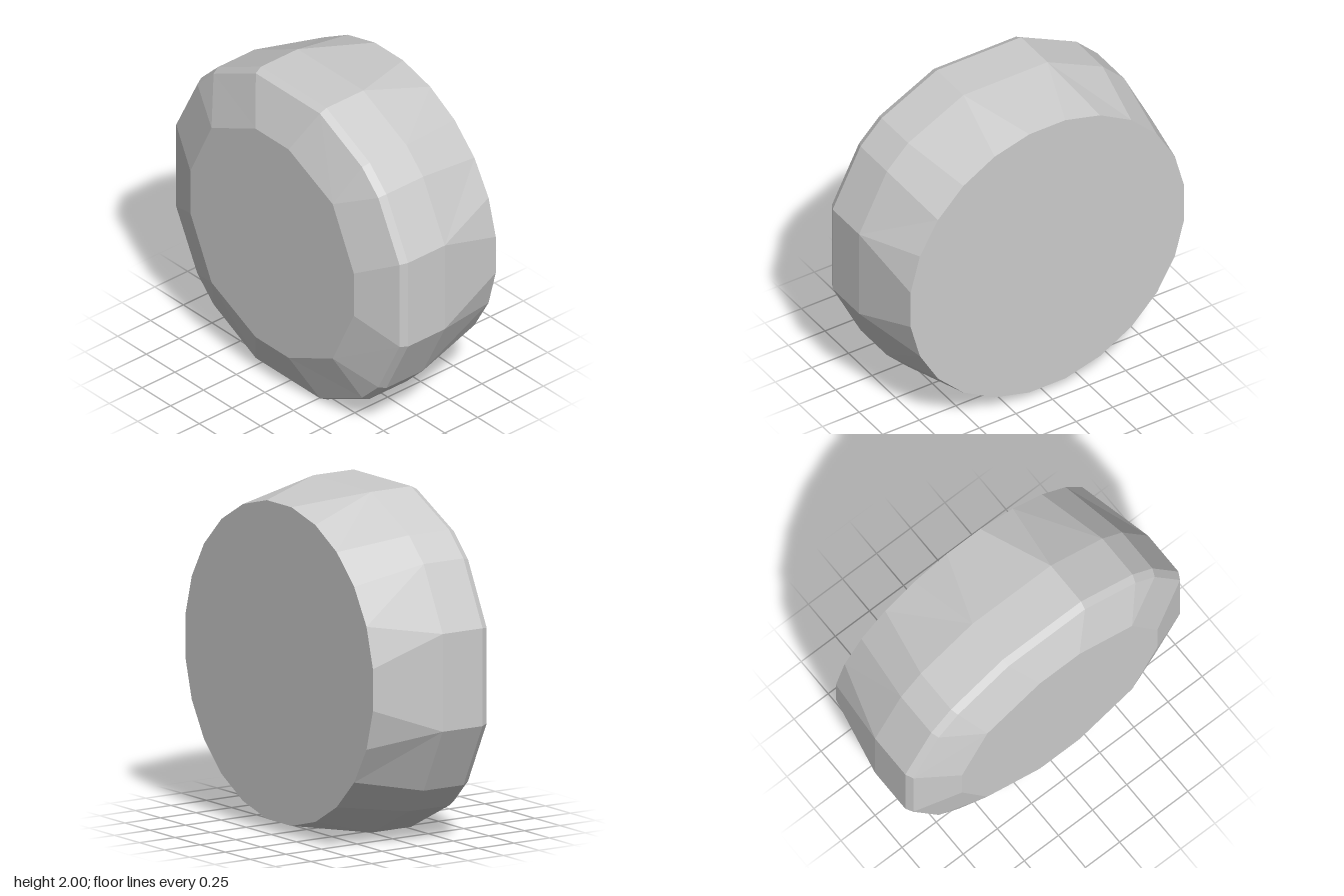
import * as THREE from 'three';

const CENTRE_Y = 1;

// Repeat a quarter outline four times to get a closed counter-clockwise ring at depth z
function ring(quarter, z, scale = 1) {
  const points = [];
  for (let q = 0; q < 4; q++) {
    for (const [x, y] of quarter) {
      const p = new THREE.Vector2(x * scale, y * scale).rotateAround(new THREE.Vector2(), q * Math.PI / 2);
      points.push(new THREE.Vector3(p.x, p.y + CENTRE_Y, z));
    }
  }
  return points;
}

// Angle of ring point i, continuing past a full turn
function angleAt(loop, i) {
  const p = loop[i % loop.length];
  const a = Math.atan2(p.y - CENTRE_Y, p.x);
  return (a < 0 ? a + 2 * Math.PI : a) + 2 * Math.PI * Math.floor(i / loop.length);
}

// Join two rings, which may have different point counts, with a band of triangles
function bridge(tris, back, front) {
  let i = 0, j = 0;
  while (i < back.length || j < front.length) {
    const a = back[i % back.length], b = front[j % front.length];
    const stepBack = j >= front.length ||
      (i < back.length && angleAt(back, i + 1) <= angleAt(front, j + 1));
    if (stepBack) tris.push(a, back[++i % back.length], b);
    else tris.push(a, front[++j % front.length], b);
  }
}

// Close a ring with a flat fan
function cap(tris, loop, z, facesFront) {
  const c = new THREE.Vector3(0, CENTRE_Y, z);
  loop.forEach((p, i) => {
    const n = loop[(i + 1) % loop.length];
    if (facesFront) tris.push(c, p, n);
    else tris.push(c, n, p);
  });
}

function facetMesh(name, tris) {
  const geometry = new THREE.BufferGeometry().setFromPoints(tris);
  geometry.computeVertexNormals();
  const mesh = new THREE.Mesh(geometry, new THREE.MeshStandardMaterial({ color: 0xcccccc, flatShading: true }));
  mesh.name = name;
  return mesh;
}

export function createModel() {
  const group = new THREE.Group();
  group.name = 'facetedDisc';

  // Quarter outlines: round back, chamfered body, smaller front face
  const backQuarter = [];
  for (let k = 0; k < 6; k++) {
    const a = THREE.MathUtils.degToRad(7.5 + 15 * k);
    backQuarter.push([0.943 * Math.cos(a), 0.943 * Math.sin(a)]);
  }
  const bodyQuarter = [[1, 0.287], [0.81, 0.665], [0.665, 0.81], [0.287, 1]];
  const faceQuarter = [[0.715, 0.145], [0.53, 0.53], [0.145, 0.715]];

  const back = ring(backQuarter, -0.445);
  const waist = ring(bodyQuarter, 0);
  const shoulder = ring(bodyQuarter, 0.28);
  const rim = ring(bodyQuarter, 0.325, 0.977);
  const face = ring(faceQuarter, 0.445);

  // Tapered rear, straight wall, narrow rim and front bevel
  const bands = [
    ['taperedRear', back, waist],
    ['sideWall', waist, shoulder],
    ['rimChamfer', shoulder, rim],
    ['frontBevel', rim, face],
  ];
  for (const [name, from, to] of bands) {
    const tris = [];
    bridge(tris, from, to);
    group.add(facetMesh(name, tris));
  }

  // Flat ends
  const frontTris = [], backTris = [];
  cap(frontTris, face, 0.445, true);
  cap(backTris, back, -0.445, false);
  group.add(facetMesh('frontFace', frontTris), facetMesh('backFace', backTris));

  return group;
}
